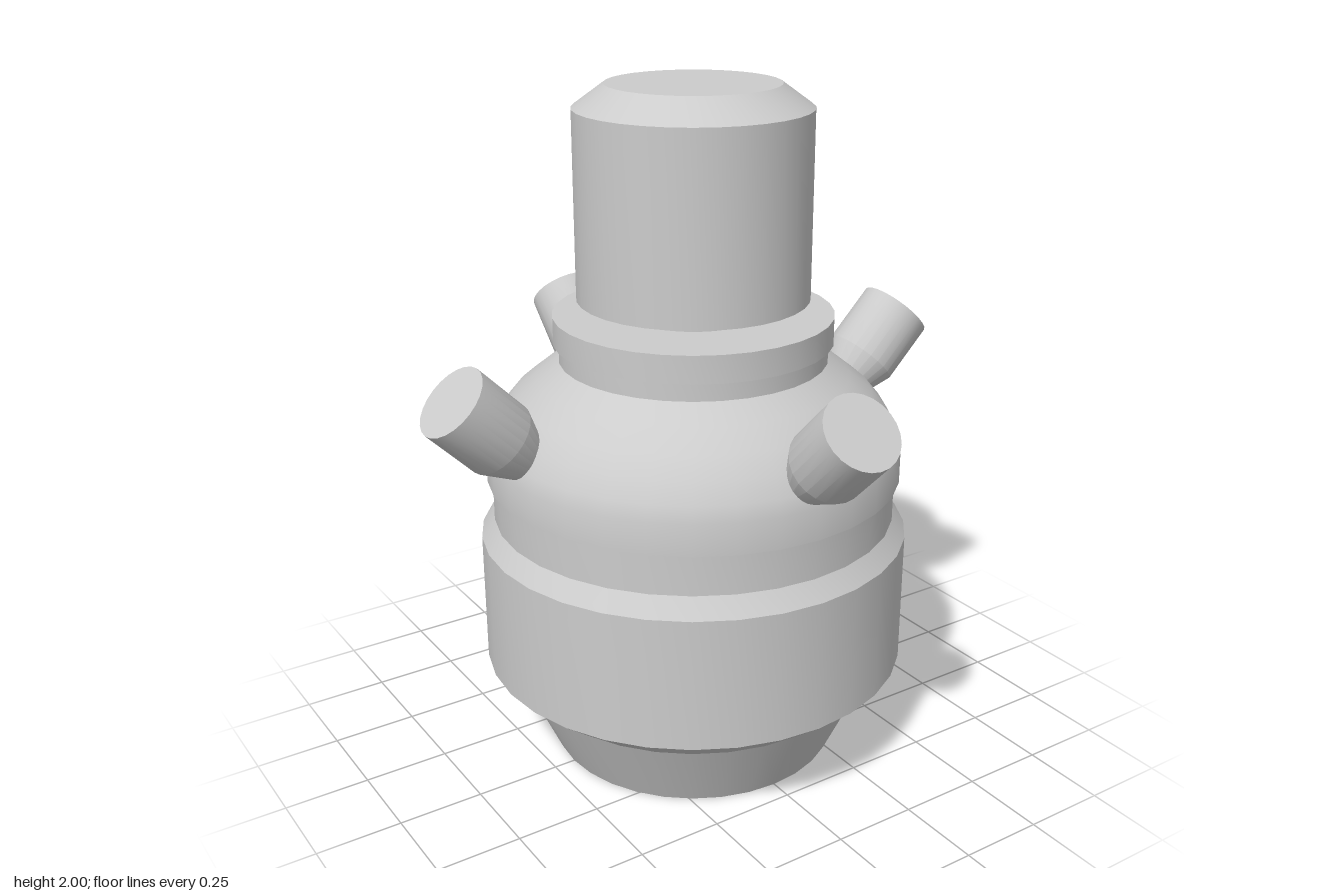
import * as THREE from 'three';
import { toCreasedNormals } from 'three/addons/utils/BufferGeometryUtils.js';

const material = new THREE.MeshStandardMaterial({ color: 0xcccccc });

// Solid of revolution from [radius, height] pairs, bottom to top, with sharp rims
function turned(name, profile, sides = 32) {
  const points = profile.map(([r, y]) => new THREE.Vector2(r, y));
  const geometry = toCreasedNormals(new THREE.LatheGeometry(points, sides), 0.4);
  const mesh = new THREE.Mesh(geometry, material);
  mesh.name = name;
  return mesh;
}

export function createModel() {
  const model = new THREE.Group();
  model.name = 'vessel';

  // Tapered foot, wide drum and recessed waist
  model.add(turned('body', [
    [0, 0], [0.435, 0], [0.535, 0.22], [0.635, 0.3], [0.635, 0.695],
    [0.595, 0.75], [0.595, 0.9], [0, 0.9],
  ]));

  // Rounded shoulder with a short straight rim
  model.add(turned('shoulder', [
    [0, 0.872], [0.61, 0.872], [0.61, 0.965], [0.595, 1.01], [0.565, 1.065],
    [0.52, 1.12], [0.455, 1.172], [0.385, 1.225], [0, 1.225],
  ]));

  // Collar, flange and narrow neck
  model.add(turned('collar', [
    [0, 1.2], [0.39, 1.2], [0.39, 1.275], [0.405, 1.275], [0.405, 1.355],
    [0.2, 1.355], [0.2, 1.41], [0, 1.41],
  ]));

  // Tall cap with a bevelled top
  model.add(turned('cap', [
    [0, 1.4], [0.335, 1.4], [0.335, 1.935], [0.245, 2], [0, 2],
  ]));

  // Four nozzles leaning outwards at 45 degrees
  const names = ['frontNozzle', 'leftNozzle', 'backNozzle', 'rightNozzle'];
  names.forEach((name, i) => {
    const pivot = new THREE.Group();
    pivot.name = name;
    const nozzle = turned(name + 'Body', [
      [0, -0.16], [0.045, -0.16], [0.112, 0], [0.112, 0.19], [0, 0.19],
    ], 24);
    nozzle.position.set(0, 1.098, 0.63);
    nozzle.rotation.x = Math.PI / 4;
    pivot.add(nozzle);
    pivot.rotation.y = i * Math.PI / 2;
    model.add(pivot);
  });

  return model;
}
